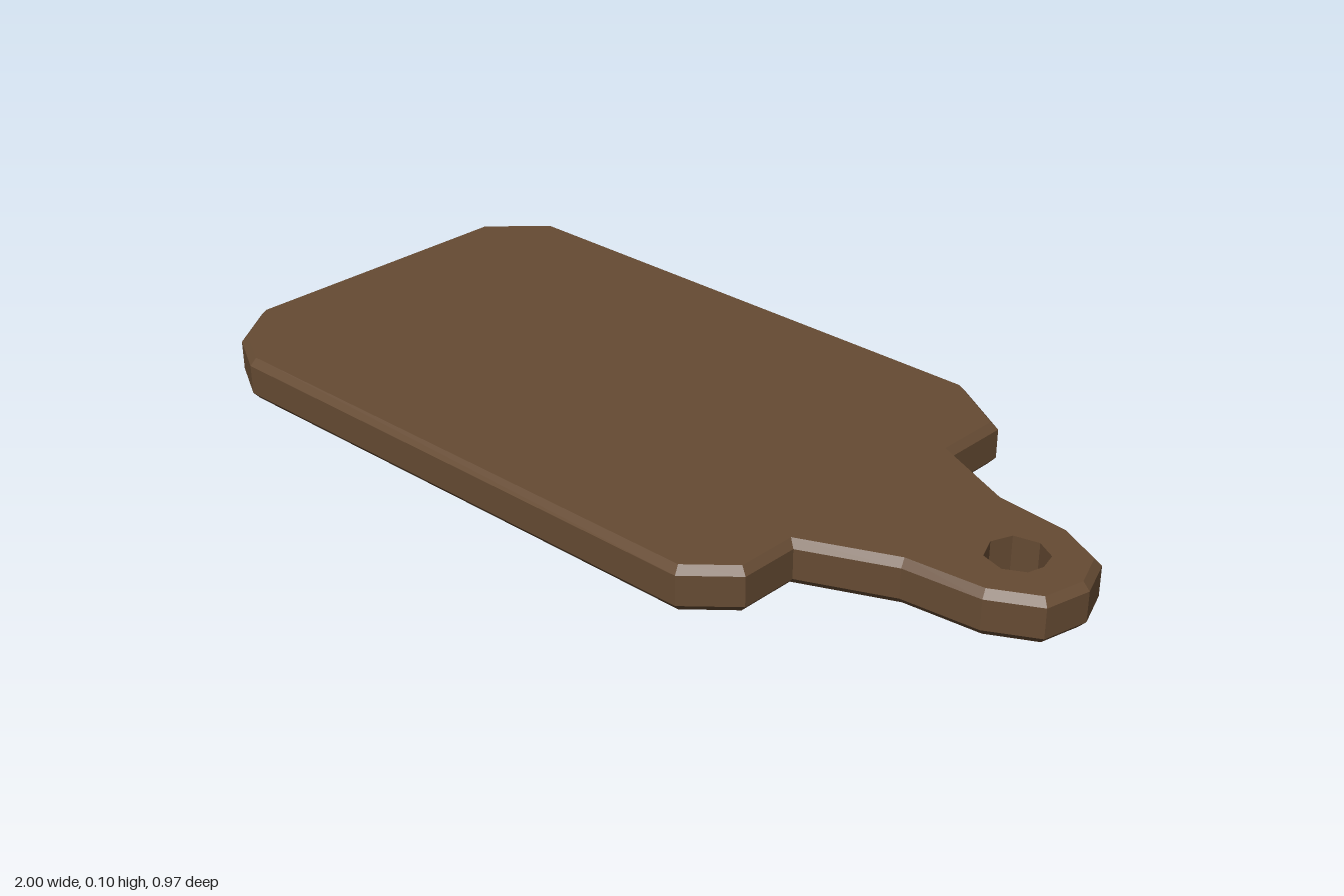
import * as THREE from 'three';

const HEIGHT = 0.097, BEVEL = 0.016, INSET = 0.014;

// Hand-cut outline of the board and handle, as [x, z]
const OUTLINE = [
  [-1, -0.355], [-0.88, -0.476], [0.37, -0.483], [0.524, -0.39], [0.524, -0.24],
  [0.705, -0.162], [0.867, -0.147], [0.968, -0.097], [1, -0.01], [0.977, 0.088],
  [0.877, 0.143], [0.709, 0.161], [0.524, 0.245], [0.524, 0.376], [0.429, 0.461],
  [-0.81, 0.483], [-0.92, 0.425], [-1, 0.313],
];

// Underside of the handle, as [x, z]
const HANDLE_BASE = [
  [0.51, -0.231], [0.702, -0.148], [0.863, -0.133], [0.957, -0.088], [0.985, -0.01],
  [0.965, 0.079], [0.873, 0.129], [0.706, 0.147], [0.51, 0.236],
];

// Hanging hole, as [x, z]
const HOLE = [
  [0.803, -0.05], [0.855, -0.063], [0.897, -0.04], [0.907, 0],
  [0.897, 0.035], [0.855, 0.058], [0.805, 0.044], [0.785, -0.005],
];

// Flat shape with the hanging hole; zSign picks which way z runs on the shape
function holedShape(outline, zSign) {
  const points = (list) => list.map(([x, z]) => new THREE.Vector2(x, zSign * z));
  const shape = new THREE.Shape(points(outline));
  shape.holes.push(new THREE.Path(points(HOLE).reverse()));
  return shape;
}

// Top and chamfered walls, open underneath
function shellGeometry() {
  const shape = holedShape(OUTLINE, -1);
  const geometry = new THREE.ExtrudeGeometry(shape, {
    depth: HEIGHT - 2 * BEVEL, bevelEnabled: true, bevelSegments: 1,
    bevelSize: INSET, bevelThickness: BEVEL, bevelOffset: -INSET,
  });

  // The first half of the lid faces is the bottom lid: leave it out
  const bottomCount = geometry.groups[0].count / 2;
  const kept = geometry.attributes.position.array.slice(bottomCount * 3);
  const shell = new THREE.BufferGeometry();
  const pos = new THREE.BufferAttribute(kept, 3);
  shell.setAttribute('position', pos);

  // Keep the hole walls straight: snap its rim back to the hole outline
  const rim = shape.holes[0].getPoints();
  const centre = new THREE.Vector2(0.847, 0.003);
  const p = new THREE.Vector2();
  for (let i = 0; i < pos.count; i++) {
    p.set(pos.getX(i), pos.getY(i));
    if (p.distanceTo(centre) > 0.095) continue;
    const near = rim.reduce((a, b) => (p.distanceTo(b) < p.distanceTo(a) ? b : a));
    pos.setXY(i, near.x, near.y);
  }
  shell.rotateX(-Math.PI / 2);
  shell.translate(0, BEVEL, 0);
  shell.computeVertexNormals();
  return shell;
}

export function createModel() {
  const wood = new THREE.MeshStandardMaterial({ color: 0x664b33, side: THREE.DoubleSide });
  wood.name = 'dark wood';
  const group = new THREE.Group();
  group.name = 'cuttingBoard';

  const board = new THREE.Mesh(shellGeometry(), wood);
  board.name = 'boardShell';

  // Closed underside of the handle only
  const base = new THREE.ShapeGeometry(holedShape(HANDLE_BASE, 1));
  base.rotateX(Math.PI / 2);
  const handleBase = new THREE.Mesh(base, wood);
  handleBase.name = 'handleUnderside';

  group.add(board, handleBase);
  return group;
}
